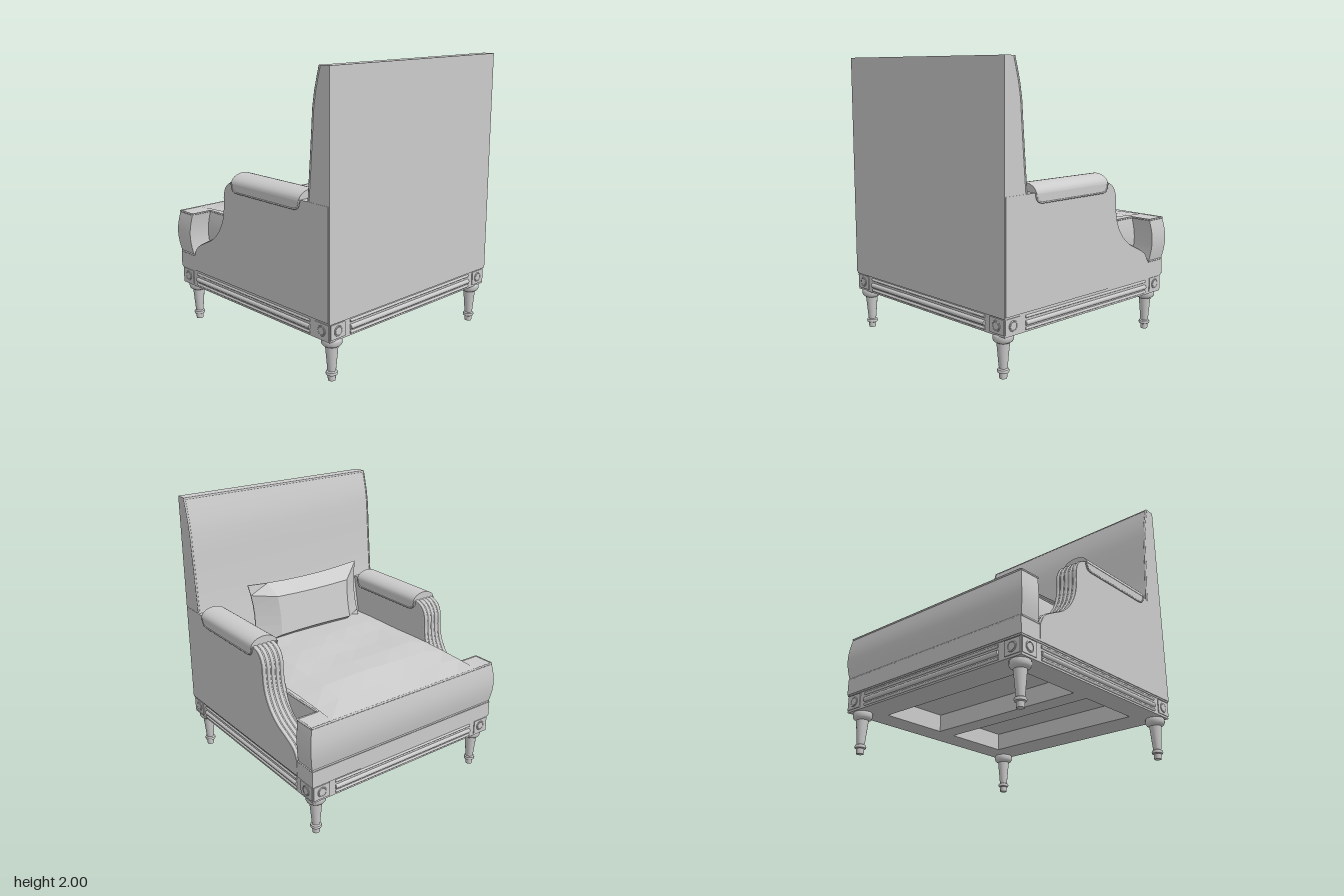
import * as THREE from 'three';
import { toCreasedNormals } from 'three/addons/utils/BufferGeometryUtils.js';

const grey = new THREE.MeshStandardMaterial({ color: 0xcccccc });
const facet = new THREE.MeshStandardMaterial({ color: 0xcccccc, flatShading: true, side: THREE.DoubleSide });
const V = (x, y, z) => new THREE.Vector3(x, y, z);
const shapeOf = pts => new THREE.Shape(pts.map(p => new THREE.Vector2(p[0], p[1])));

function add(parent, name, geo, x = 0, y = 0, z = 0, mat = grey) {
  const m = new THREE.Mesh(geo, mat);
  m.name = name;
  m.position.set(x, y, z);
  parent.add(m);
  return m;
}

// Box given by its limits
function block(parent, name, x0, x1, y0, y1, z0, z1) {
  return add(parent, name, new THREE.BoxGeometry(x1 - x0, y1 - y0, z1 - z0),
    (x0 + x1) / 2, (y0 + y1) / 2, (z0 + z1) / 2);
}

// Side profile of (z, y) points extruded from x0 to x1
function extrudeX(pts, x0, x1) {
  const g = new THREE.ExtrudeGeometry(shapeOf(pts), { depth: x1 - x0, bevelEnabled: false });
  g.rotateY(-Math.PI / 2).translate(x1, 0, 0);
  return toCreasedNormals(g, 0.6);
}

// Thin round cord through a row of points
function piping(parent, name, pts, r) {
  for (let i = 1; i < pts.length; i++) {
    const a = pts[i - 1], d = pts[i].clone().sub(a);
    const m = add(parent, name, new THREE.CylinderGeometry(r, r, d.length(), 8));
    m.position.copy(a).addScaledVector(d, 0.5);
    m.quaternion.setFromUnitVectors(V(0, 1, 0), d.normalize());
  }
}

function buildBase(chair) {
  // Frame with two sunken panels underneath
  const s = shapeOf([[-0.795, -0.8], [0.795, -0.8], [0.795, 0.787], [-0.795, 0.787]]);
  for (const k of [-1, 1]) {
    const a = k * 0.07, b = k * 0.57;
    s.holes.push(shapeOf([[-0.62, a], [-0.62, b], [0.62, b], [0.62, a]]));
  }
  const g = new THREE.ExtrudeGeometry(s, { depth: 0.13, bevelEnabled: false });
  add(chair, 'baseFrame', g.rotateX(-Math.PI / 2), 0, 0.29, 0);
  block(chair, 'seatSupport', -0.8, 0.8, 0.415, 0.53, -0.625, 0.8);
  block(chair, 'frontRail', -0.803, 0.803, 0.42, 0.53, -0.797, -0.62);

  // Mouldings and corner rosettes on all four sides
  for (let i = 0; i < 4; i++) {
    const side = new THREE.Group();
    side.name = 'baseTrim';
    side.rotation.y = i * Math.PI / 2;
    side.position.z = 0.007;
    chair.add(side);
    for (const [y, r] of [[0.39, 0.01], [0.348, 0.017], [0.312, 0.01]]) {
      const bead = add(side, 'baseMoulding', new THREE.CylinderGeometry(r, r, 1.23, 12), 0, y, 0.793);
      bead.rotation.z = Math.PI / 2;
    }
    block(side, 'baseTopEdge', -0.8, 0.8, 0.41, 0.425, 0.78, 0.8);
    for (const k of [-1, 1]) {
      block(side, 'cornerBlock', k * 0.727 - 0.063, k * 0.727 + 0.063, 0.305, 0.405, 0.78, 0.8);
      add(side, 'rosetteRing', new THREE.TorusGeometry(0.031, 0.005, 6, 24), k * 0.725, 0.355, 0.8);
      const disc = add(side, 'rosette', new THREE.CylinderGeometry(0.026, 0.026, 0.008, 24), k * 0.725, 0.355, 0.8);
      disc.rotation.x = Math.PI / 2;
    }
  }

  // Turned legs
  const profile = [[0, 0], [0.025, 0], [0.027, 0.035], [0.037, 0.04], [0.04, 0.05], [0.037, 0.06], [0.027, 0.066],
    [0.029, 0.08], [0.043, 0.235], [0.06, 0.245], [0.068, 0.258], [0.068, 0.285], [0.06, 0.295]];
  const leg = toCreasedNormals(new THREE.LatheGeometry(profile.map(p => new THREE.Vector2(...p)), 24), 0.7);
  for (const x of [-0.72, 0.72]) for (const z of [-0.712, 0.742]) add(chair, 'leg', leg, x, 0, z);
}

function buildBack(chair) {
  const slope = [[0.725, 2], [0.708, 1.94], [0.685, 1.85], [0.668, 1.75], [0.657, 1.6], [0.641, 1.4],
    [0.62, 1.16]];
  add(chair, 'backrest', extrudeX([[0.81, 0.42], [0.81, 2], ...slope, [0.56, 0.85], [0.56, 0.42]], -0.804, 0.804));
  for (const s of [-1, 1]) {
    piping(chair, 'backPiping', slope.map(([z, y]) => V(s * 0.8, y - 0.004, z + 0.003)), 0.008);
  }
  piping(chair, 'backPiping', [V(-0.8, 1.992, 0.728), V(0.8, 1.992, 0.728)], 0.008);
}

function buildArm(chair, s) {
  const between = (a, b) => s > 0 ? [a, b] : [-b, -a];
  // Scrolled arm panel
  const curve = new THREE.CatmullRomCurve3([[0.53, -0.625], [0.6, -0.585], [0.655, -0.49], [0.7, -0.4], [0.77, -0.32],
    [0.87, -0.262], [0.97, -0.242], [1.07, -0.236], [1.13, -0.205], [1.16, -0.15], [1.165, -0.09]]
    .map(([y, z]) => V(0, y, z)));
  const front = curve.getPoints(36).map(p => [p.z, p.y]);
  add(chair, 'armPanel', extrudeX([[-0.625, 0.42], ...front, [0.8, 1.165], [0.8, 0.42]], ...between(0.637, 0.806)));
  // Ribs running down the arm front
  for (let i = 0; i < 5; i++) {
    const rib = add(chair, 'armRib', new THREE.TubeGeometry(curve, 40, 0.017, 8));
    rib.position.set(s * (0.652 + i * 0.0345), -0.006, 0.01);
  }
  // Padded arm top: arched roll over a flap with rounded lower corners
  const arch = [];
  for (let i = 0; i <= 16; i++) {
    const a = Math.PI * i / 16;
    arch.push([0.103 * Math.cos(a), 0.065 * Math.sin(a)]);
  }
  const roll = new THREE.ExtrudeGeometry(shapeOf(arch), { depth: 0.685, bevelEnabled: false });
  add(chair, 'armPad', toCreasedNormals(roll, 0.6), s * 0.717, 1.158, -0.132);
  const flap = [[0.55, 1.165], [0.545, 1.13], [0.53, 1.11], [0.5, 1.1],
    [-0.09, 1.1], [-0.115, 1.11], [-0.13, 1.13], [-0.135, 1.165]];
  add(chair, 'armPadFlap', extrudeX(flap, ...between(0.616, 0.817)));
  for (const x of [0.617, 0.815]) {
    piping(chair, 'armPadPiping', flap.map(([z, y]) => V(s * x, y, z)), 0.006);
  }
}

function buildSeat(chair) {
  // T-shaped cushion with bulging sides
  const t = [[-0.8, -0.79], [0.8, -0.79], [0.8, -0.635], [0.642, -0.635], [0.642, 0.58],
    [-0.642, 0.58], [-0.642, -0.635], [-0.8, -0.635]];
  const g = new THREE.ExtrudeGeometry(shapeOf(t.map(([x, z]) => [x, -z])), { depth: 0.315, steps: 10, bevelEnabled: false });
  g.rotateX(-Math.PI / 2);
  const p = g.attributes.position;
  for (let i = 0; i < p.count; i++) {
    const f = 1 + 0.024 * Math.sin(Math.PI * p.getY(i) / 0.315);
    p.setX(i, p.getX(i) * f);
    p.setZ(i, p.getZ(i) * f);
  }
  add(chair, 'seatCushion', toCreasedNormals(g, 0.6), 0, 0.53, 0);
  for (const y of [0.535, 0.842]) {
    piping(chair, 'seatPiping', [...t, t[0]].map(([x, z]) => V(x, y, z)), 0.007);
  }

  // Softly creased seat top
  const top = new THREE.PlaneGeometry(1.28, 1.36, 7, 8).rotateX(-Math.PI / 2).translate(0, 0, -0.105);
  const q = top.attributes.position;
  for (let i = 0; i < q.count; i++) {
    const x = q.getX(i), z = q.getZ(i);
    const rise = Math.min(1, (z + 0.785) / 0.4) * (Math.abs(x) > 0.6 ? 0.35 : 1);
    q.setY(i, 0.846 + rise * (0.068 + 0.012 * Math.sin(7 * x + 5 * z) * Math.cos(6 * z - 3 * x)));
  }
  top.computeVertexNormals();
  add(chair, 'seatTop', top, 0, 0, 0, facet);
}

function buildPillow(chair) {
  // Leaning pillow, thick in the middle and pinched at its rim
  const g = new THREE.BoxGeometry(2, 2, 2, 6, 6, 1);
  const p = g.attributes.position;
  for (let i = 0; i < p.count; i++) {
    const u = p.getX(i), v = p.getY(i);
    const thick = 0.004 + 0.115 * Math.min(1, 3 * (1 - Math.abs(u))) * Math.min(1, 3 * (1 - Math.abs(v)));
    const x = u * (0.5 - 0.03 * (1 - v * v)), y = v * (0.235 - 0.025 * (1 - u * u));
    p.setXYZ(i, x, y, p.getZ(i) * thick + 0.14 * y);
  }
  g.computeVertexNormals();
  add(chair, 'pillow', g, -0.055, 1.1, 0.485, facet);
}

export function createModel() {
  const chair = new THREE.Group();
  chair.name = 'armchair';
  buildBase(chair);
  buildBack(chair);
  for (const s of [-1, 1]) buildArm(chair, s);
  buildSeat(chair);
  buildPillow(chair);
  return chair;
}
